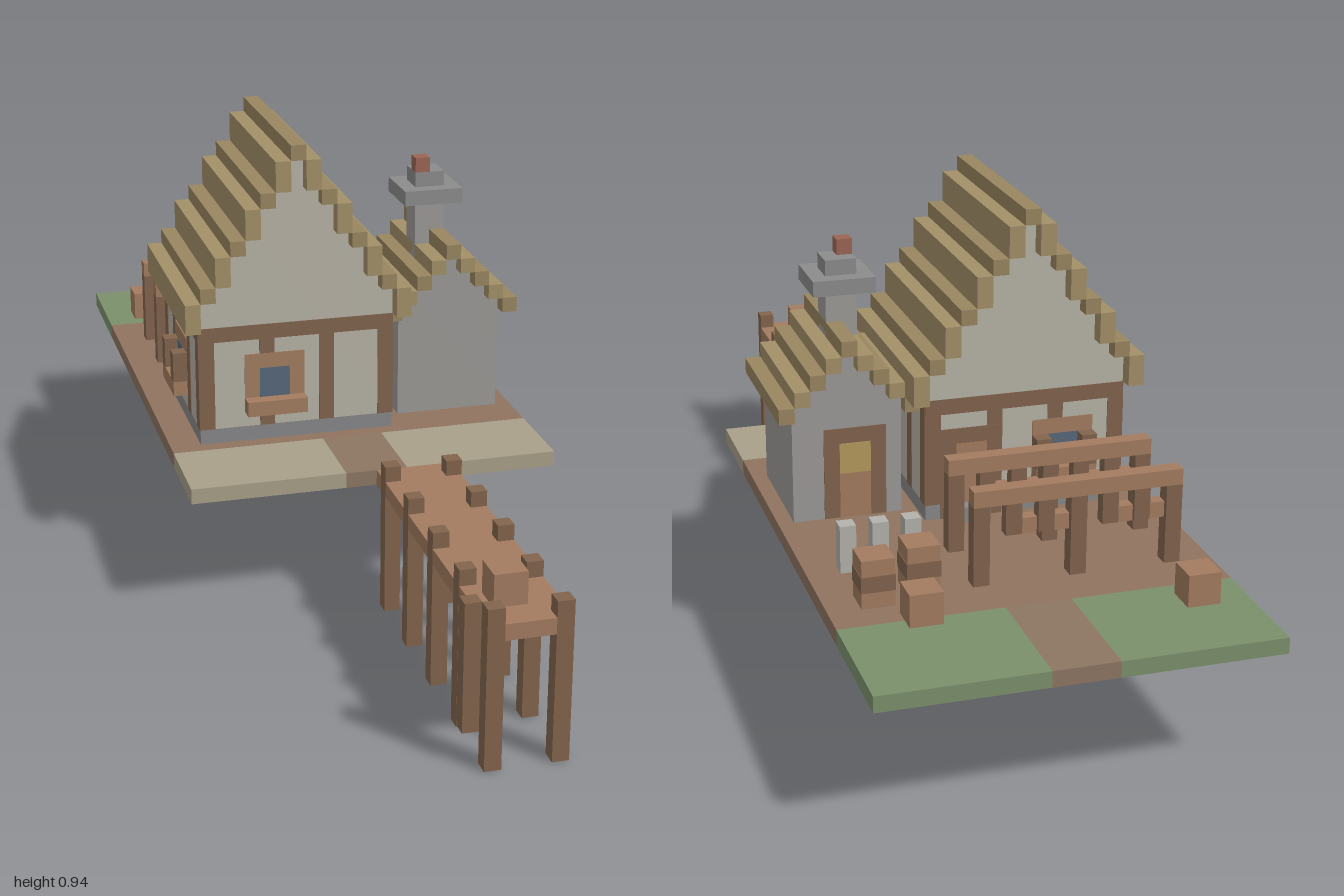
import * as THREE from 'three';

const C = {
  wall: 0xb7b3a6, stone: 0x9c9a97, base: 0x88888a, slab: 0x8c8c8c, timber: 0x82644d, plank: 0xa37c60,
  thatch: 0xa39068, thatchDark: 0x998660, glass: 0x56677a, dirt: 0x8f735f, sand: 0xa8a089,
  path: 0x8d7663, grass: 0x7b906c, brick: 0x9c6455, salt: 0xb4b2ac, lamp: 0xb39a5c,
};
const mats = {};
const mat = (c) => (mats[c] ??= new THREE.MeshStandardMaterial({ color: C[c], side: THREE.DoubleSide, flatShading: true }));

export function createModel() {
  const model = new THREE.Group();
  model.name = 'fishingCottage';
  const U = 2 / 62; // all sizes below are in blocks
  model.scale.setScalar(U);

  const add = (name, color, geo, parent = model) => {
    const m = new THREE.Mesh(geo, mat(color));
    m.name = name;
    parent.add(m);
    return m;
  };
  const group = (name) => {
    const g = new THREE.Group();
    g.name = name;
    model.add(g);
    return g;
  };
  const box = (name, color, x0, x1, y0, y1, z0, z1, parent) => {
    const g = new THREE.BoxGeometry(x1 - x0, y1 - y0, z1 - z0);
    g.translate((x0 + x1) / 2, (y0 + y1) / 2, (z0 + z1) / 2);
    return add(name, color, g, parent);
  };
  const rect = (S, x0, x1, z0, z1) => new S([[x0, -z0], [x1, -z0], [x1, -z1], [x0, -z1]].map((p) => new THREE.Vector2(...p)));
  // Flat ground surface with optional openings
  const patch = (name, color, x0, x1, y, z0, z1, parent, holes = []) => {
    const s = rect(THREE.Shape, x0, x1, z0, z1);
    s.holes = holes.map((h) => rect(THREE.Path, ...h));
    add(name, color, new THREE.ShapeGeometry(s).rotateX(-Math.PI / 2).translate(0, y, 0), parent);
  };
  // Four upright sides, open above and below
  const ring = (name, color, x0, x1, y0, y1, z0, z1, parent) => {
    const g = new THREE.CylinderGeometry(Math.SQRT1_2, Math.SQRT1_2, 1, 4, 1, true).rotateY(Math.PI / 4);
    g.scale(x1 - x0, y1 - y0, z1 - z0).translate((x0 + x1) / 2, (y0 + y1) / 2, (z0 + z1) / 2);
    add(name, color, g, parent);
  };

  // Ground: hollow underneath, open below the buildings
  const ground = group('ground');
  const t = 0.05;
  patch('grassLeft', 'grass', 2, 12, 9, -31, -23, ground);
  patch('grassRight', 'grass', -12, -2, 9, -31, -23, ground);
  patch('backPath', 'path', -2, 2, 9, -31, -23, ground);
  patch('yard', 'dirt', -12, 12, 9, -23, 3, ground, [[-10, 3, -10, 2], [4, 11, -8, 0]]);
  patch('sandLeft', 'sand', 2, 12, 9, 3, 9, ground);
  patch('sandRight', 'sand', -12, -2, 9, 3, 9, ground);
  patch('frontPath', 'path', -2, 2, 9, 3, 9, ground);
  for (const [c, z0, z1] of [['grass', -31, -23], ['dirt', -23, 3], ['sand', 3, 9]]) {
    box('groundEdge', c, -12, -12 + t, 8, 9, z0, z1, ground);
    box('groundEdge', c, 12 - t, 12, 8, 9, z0, z1, ground);
  }
  for (const [c, z] of [['grass', -31], ['sand', 9 - t]]) {
    box('groundEnd', c, -12, -2, 8, 9, z, z + t, ground);
    box('groundEnd', 'path', -2, 2, 8, 9, z, z + t, ground);
    box('groundEnd', c, 2, 12, 8, 9, z, z + t, ground);
  }

  // Stepped gable body and matching roof bars; steps = [bottom, top] from eave to ridge
  const building = (g, color, xEave, steps, y0, z0, z1) => {
    const n = steps.length;
    const cols = [...steps, ...steps.slice(0, -1).reverse()];
    const s = new THREE.Shape();
    s.moveTo(xEave + 1, y0);
    for (let i = 1; i < cols.length - 1; i++) {
      s.lineTo(xEave + i, cols[i][0]);
      s.lineTo(xEave + i + 1, cols[i][0]);
    }
    s.lineTo(xEave + cols.length - 1, y0);
    const geo = new THREE.ExtrudeGeometry(s, { depth: z1 - z0, bevelEnabled: false });
    add('walls', color, geo.translate(0, 0, z0), g);
    cols.forEach(([b, top], i) =>
      box('roofBar', Math.abs(i - n + 1) % 2 ? 'thatch' : 'thatchDark', xEave + i, xEave + i + 1, b, top, z0 - 1, z1 + 1, g));
  };

  // Main house
  const house = group('mainHouse');
  building(house, 'wall', -11, [[17, 19], [19, 20], [20, 22], [22, 23], [23, 25], [25, 26], [26, 28], [28, 29]], 10, -10, 2);
  ring('stoneBase', 'base', -10, 3, 9, 10, -10, 2, house);
  const e = 0.05;
  // Timber frame on the gable walls
  for (const z of [-10, 1]) {
    for (const x of [-10, 2]) box('cornerPost', 'timber', x - (x < 0 ? e : 0), x + 1 + (x > 0 ? e : 0), 10, 16, z - (z < 0 ? e : 0), z + 1 + (z > 0 ? e : 0), house);
    const [a, b] = z < 0 ? [-10 - e, -9.5] : [1.5, 2 + e];
    for (const x of [-6, -2]) box('wallPost', 'timber', x, x + 1, 10, 16, a, b, house);
    box('wallBeam', 'timber', -10, 3, 16, 17, a, b, house);
  }
  // Timber frame on the side walls
  for (const [a, b] of [[-10 - e, -9.5], [2.5, 3 + e]]) {
    box('sideBeam', 'timber', a, b, 16, 17, -10, 2, house);
    for (const z of [-7, -2]) box('sidePost', 'timber', a, b, 10, 16, z, z + 1, house);
  }

  // Window facing +z with its wall plane at z = 0, centred on x = 0
  const makeWindow = (name, x, z, turn, shutters) => {
    const w = new THREE.Group();
    w.name = name;
    w.position.set(x, 0, z);
    w.rotation.y = turn;
    house.add(w);
    box('frame', 'plank', -2, 2, 11, 15, -0.5, 0.08, w);
    box('glass', 'glass', -1, 1, 12, 14, -0.5, 0.11, w);
    box('windowBox', 'plank', -2, 2, 11, 12, 0, 1, w);
    if (shutters) for (const s of [-2, 1]) box('shutter', 'timber', s, s + 1, 12, 14, 0, 1, w);
  };
  makeWindow('frontWindow', -5, 2, 0, false);
  makeWindow('backWindow', -6, -10, Math.PI, true);
  makeWindow('sideWindow', -10, -4, -Math.PI / 2, true);

  // Back door with step
  box('doorFrame', 'timber', -2, 2, 9, 15, -10.08, -9.5, house);
  box('door', 'plank', -1, 1, 9, 14, -10.11, -9.5, house);
  box('doorStep', 'base', -1, 1, 9, 10, -11, -10, house);

  // Stone annex with chimney
  const annex = group('annex');
  building(annex, 'stone', 3, [[16, 17], [17, 18], [18, 19], [19, 20], [20, 21]], 10, -8, 0);
  ring('annexBase', 'stone', 4, 11, 9, 10, -8, 0, annex);
  box('annexDoorFrame', 'timber', 5, 9, 9, 15, -8.06, -7.5, annex);
  box('annexDoor', 'plank', 6, 8, 9, 14, -8.09, -7.5, annex);
  box('doorPane', 'lamp', 6, 8, 12, 14, -8.12, -7.5, annex);
  box('chimneyStack', 'stone', 6, 8, 18, 23, -5, -3, annex);
  box('chimneySlab', 'slab', 5, 9, 23, 24, -6, -2, annex);
  box('chimneyTop', 'slab', 6, 8, 24, 25, -5, -3, annex);
  box('chimneyPot', 'brick', 6, 7, 25, 26, -4, -3, annex);

  // Pier
  const pier = group('pier');
  patch('deck', 'plank', 0, 5, 9, 9, 31, pier);
  ring('deckEdge', 'plank', 0, 5, 8, 9, 9, 31, pier);
  for (const z of [10, 15, 20, 25, 30])
    for (const x of [0, 4]) box('pierPost', 'timber', x - 0.01, x + 1.01, 0, 10, z, z + 1.01, pier);
  box('mooringPost', 'timber', -1, 0, 2, 10, 29, 30, pier);
  box('pierCrate', 'plank', 1, 3, 9, 11, 27, 29, pier);

  // Drying racks with hanging catch
  for (const z of [-20, -15]) {
    const rack = group('dryingRack');
    box('rackBeam', 'plank', -10, 3, 14, 15, z, z + 1, rack);
    for (const x of [-10, -4, 2]) box('rackPost', 'timber', x, x + 1, 9, 14, z, z + 1, rack);
    for (const x of [-8, -6, -2, 0]) {
      box('hangingFish', 'timber', x, x + 1, 12, 14, z + 0.1, z + 0.9, rack);
      box('fishTail', 'plank', x - 0.9, x, 12, 13, z + 0.1, z + 0.9, rack);
    }
  }

  // Crates, barrels and salt pillars in the yard
  for (const [x, z] of [[-10, -26], [6, -24]]) box('crate', 'plank', x, x + 2, 9, 11, z, z + 2);
  for (const [x, z] of [[8, -21], [5, -20]]) {
    box('barrel', 'plank', x, x + 2, 9, 12, z, z + 2);
    box('barrelBand', 'timber', x - 0.04, x + 2.04, 10, 11, z - 0.04, z + 2.04);
  }
  for (const x of [5, 7, 9]) box('stonePillar', 'salt', x, x + 1, 9, 12, -16, -15);

  return model;
}
